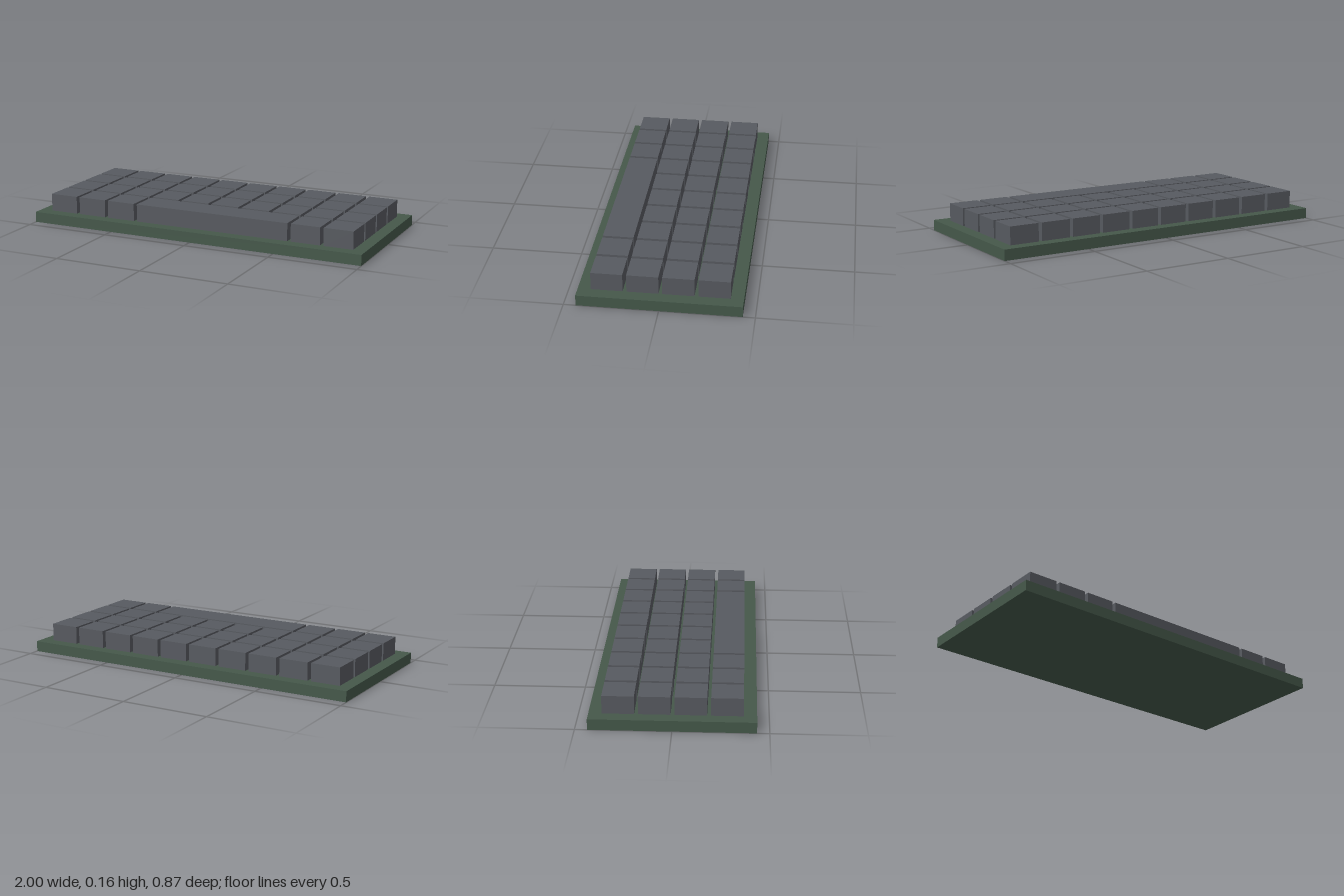
import * as THREE from 'three';

export function createModel() {
  const model = new THREE.Group();
  model.name = 'keyboard';
  const boardMaterial = new THREE.MeshStandardMaterial({ color: 0x45584a });
  const keyMaterial = new THREE.MeshStandardMaterial({ color: 0x575a60 });

  const boardHeight = 0.06, keyHeight = 0.1;
  const pitch = 0.188, gap = 0.02;
  const columns = 10, rows = 4;

  // Flat base board
  const board = new THREE.Mesh(new THREE.BoxGeometry(2, boardHeight, 0.87), boardMaterial);
  board.name = 'baseBoard';
  board.position.y = boardHeight / 2;
  model.add(board);

  // Key caps, placed by grid cell; span is the width in columns
  const keys = new THREE.Group();
  keys.name = 'keys';
  model.add(keys);
  function addKey(name, column, row, span = 1) {
    const geometry = new THREE.BoxGeometry(span * pitch - gap, keyHeight, pitch - gap);
    const key = new THREE.Mesh(geometry, keyMaterial);
    key.name = name;
    key.position.set(
      (column + span / 2 - columns / 2) * pitch,
      boardHeight + keyHeight / 2,
      (row + 0.5 - rows / 2) * pitch
    );
    keys.add(key);
  }

  // Three full rows, then a front row with the space bar over columns 3 to 7
  for (let row = 0; row < rows; row++) {
    for (let column = 0; column < columns; column++) {
      const underSpaceBar = row === rows - 1 && column >= 3 && column <= 7;
      if (!underSpaceBar) addKey(`keyRow${row + 1}Column${column + 1}`, column, row);
    }
  }
  addKey('spaceBar', 3, rows - 1, 5);

  return model;
}
